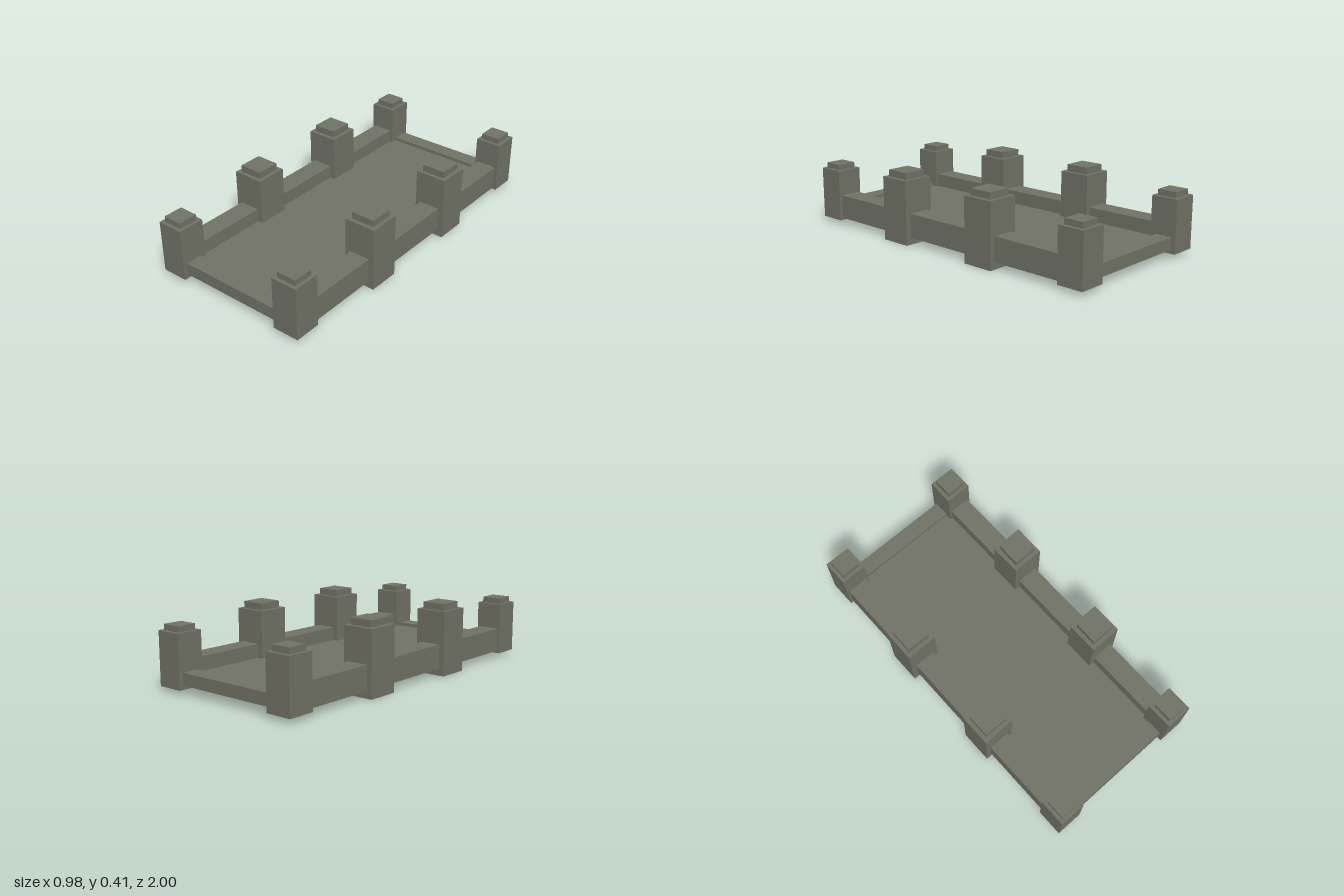
import * as THREE from 'three';

const stone = new THREE.MeshStandardMaterial({ color: 0x727367 });
stone.name = 'stone';

// Box given by its footprint centre, width, depth and bottom/top heights
function block(name, x, z, w, d, y0, y1) {
  const mesh = new THREE.Mesh(new THREE.BoxGeometry(w, y1 - y0, d), stone);
  mesh.name = name;
  mesh.position.set(x, (y0 + y1) / 2, z);
  return mesh;
}

// Square post with a smaller cap on top
function post(name, x, z, size, y0, y1, capSize, capTop) {
  const group = new THREE.Group();
  group.name = name;
  group.add(block('shaft', x, z, size, size, y0, y1));
  group.add(block('cap', x, z, capSize, capSize, y1, capTop));
  return group;
}

export function createModel() {
  const model = new THREE.Group();
  model.name = 'bridge';

  // Deck slab
  model.add(block('deck', 0, 0, 0.68, 1.78, 0.06, 0.1));

  // Low sills across both ends
  for (const s of [1, -1]) {
    model.add(block(s > 0 ? 'frontSill' : 'backSill', 0, s * 0.928, 0.67, 0.095, 0.05, 0.12));
  }

  for (const s of [1, -1]) {
    const side = s > 0 ? 'left' : 'right';
    // Side parapet
    model.add(block(side + 'Parapet', s * 0.397, 0, 0.123, 1.8, 0.04, 0.18));
    for (const e of [1, -1]) {
      const end = e > 0 ? 'Front' : 'Back';
      // Corner posts, and taller middle posts reaching the ground
      model.add(post(side + end + 'CornerPost', s * 0.397, e * 0.922, 0.156, 0.027, 0.33, 0.114, 0.363));
      model.add(post(side + end + 'MiddlePost', s * 0.397, e * 0.322, 0.187, 0, 0.37, 0.139, 0.409));
    }
  }
  return model;
}
